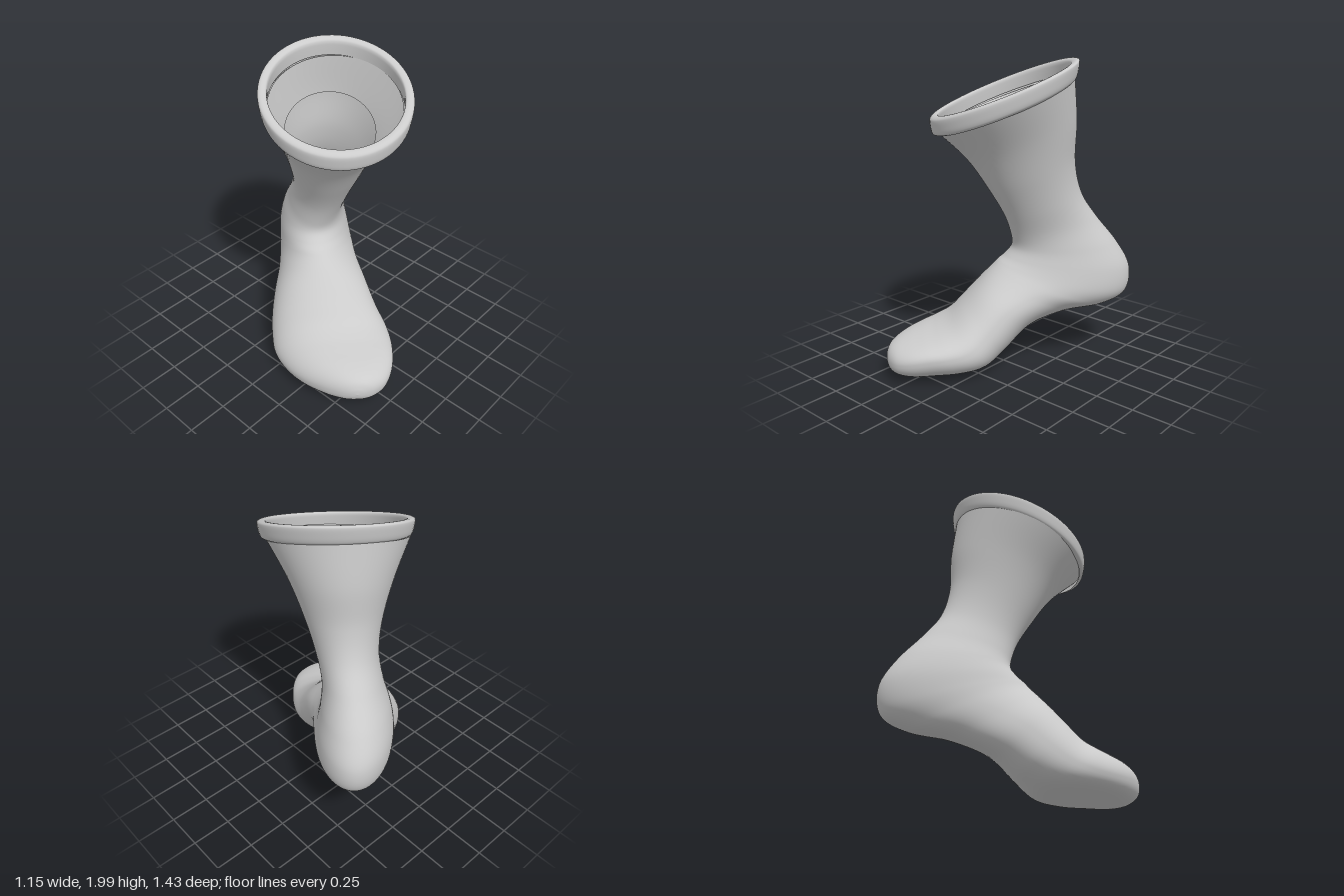
import * as THREE from 'three';

const SEG = 72;

// Skin of closed rings: point(row 0..1, angle) -> [x, y, z]
function loft(rows, point) {
  const pos = [], idx = [];
  for (let i = 0; i <= rows; i++) {
    for (let j = 0; j < SEG; j++) pos.push(...point(i / rows, (j / SEG) * Math.PI * 2));
  }
  for (let i = 0; i < rows; i++) {
    for (let j = 0; j < SEG; j++) {
      const k = (j + 1) % SEG;
      const a = i * SEG + j, b = i * SEG + k;
      const c = a + SEG, d = b + SEG;
      idx.push(a, b, c, b, d, c);
    }
  }
  const g = new THREE.BufferGeometry();
  g.setAttribute('position', new THREE.Float32BufferAttribute(pos, 3));
  g.setIndex(idx);
  g.computeVertexNormals();
  return g;
}

// Cross-sections from cuff to toe, in foot axes (x = toeward):
// front/top point, back/sole point, outer side, inner side
const sections = [
  [0.425, 1.57, -0.43, 1.89, -0.40, 0.46],
  [0.23, 1.38, -0.455, 1.62, -0.31, 0.315],
  [0.08, 1.16, -0.455, 1.36, -0.25, 0.215],
  [-0.01, 1.00, -0.505, 1.15, -0.235, 0.15],
  [-0.055, 0.865, -0.615, 0.98, -0.265, 0.11],
  [-0.06, 0.785, -0.76, 0.80, -0.31, 0.115],
  [-0.015, 0.725, -0.85, 0.63, -0.335, 0.135],
  [0.03, 0.69, -0.825, 0.46, -0.34, 0.155],
  [0.06, 0.66, -0.66, 0.37, -0.34, 0.17],
  [0.11, 0.61, -0.41, 0.325, -0.35, 0.19],
  [0.18, 0.535, -0.18, 0.24, -0.38, 0.24],
  [0.27, 0.44, -0.02, 0.11, -0.40, 0.30],
  [0.36, 0.355, 0.11, 0.03, -0.40, 0.36],
  [0.45, 0.31, 0.27, 0.005, -0.38, 0.385],
  [0.54, 0.285, 0.44, 0.005, -0.31, 0.385],
  [0.62, 0.265, 0.58, 0.01, -0.21, 0.365],
  [0.69, 0.24, 0.68, 0.03, -0.09, 0.32],
  [0.735, 0.21, 0.735, 0.06, 0.01, 0.255],
  [0.757, 0.17, 0.757, 0.095, 0.08, 0.19],
  [0.764, 0.13, 0.764, 0.13, 0.135, 0.135],
];
const spline = (pts) => new THREE.CatmullRomCurve3(
  pts.map(([x, y]) => new THREE.Vector3(x, y, 0)), false, 'catmullrom', 0.5);
const front = spline(sections.map((s) => [s[0], s[1]]));
const back = spline(sections.map((s) => [s[2], s[3]]));
const sides = spline(sections.map((s) => [s[4], s[5]]));
const bell = (x, mid, width) => Math.exp(-(((x - mid) / width) ** 2));

function skinPoint(t, angle, inset) {
  const a = front.getPoint(t), b = back.getPoint(t), w = sides.getPoint(t);
  const i = t * (sections.length - 1);
  const mid = a.clone().add(b).multiplyScalar(0.5);
  const half = a.clone().sub(mid);
  half.setLength(Math.max(half.length() - inset, 0));
  // the sole side of the foot is squarer than the top
  let c = Math.cos(angle), s = Math.sin(angle);
  if (c < 0) {
    const e = 1 - 0.18 * THREE.MathUtils.smoothstep(i, 7, 11);
    c = -(Math.abs(c) ** e);
    s = Math.sign(s) * Math.abs(s) ** e;
  }
  const dw = -s * Math.max((w.y - w.x) / 2 - inset, 0);
  // raised arch on the inner side of the sole, lowered outer edge at the ball
  const arch = 0.28 * bell(i, 9.5, 2) * (1 - c) / 2;
  const tilt = 0.11 * bell(i, 13.8, 2.2) * s * s;
  return [mid.x + half.x * c, mid.y + half.y * c + (arch + tilt) * dw, -((w.x + w.y) / 2 + dw)];
}

// Cuff profile (radius, height), from inside over the top to outside
const cuffProfile = spline([
  [0.404, -0.1], [0.4, -0.045], [0.4, -0.018], [0.408, -0.004], [0.432, 0],
  [0.45, -0.008], [0.454, -0.025], [0.45, -0.06], [0.444, -0.09], [0.435, -0.108], [0.415, -0.12],
]);
function cuffPoint(t, angle) {
  const p = cuffProfile.getPoint(t);
  const u = p.x * Math.cos(angle), z = p.x * Math.sin(angle);
  return [u, 1.825 + p.y - 0.39 * u + 0.035 * z, z - 0.035];
}

export function createModel() {
  const model = new THREE.Group();
  model.name = 'sock';
  const material = new THREE.MeshStandardMaterial({ color: 0xcccccc, side: THREE.DoubleSide });
  const add = (name, geometry) => {
    const mesh = new THREE.Mesh(geometry, material);
    mesh.name = name;
    model.add(mesh);
  };

  // Leg, heel, foot and toe in one smooth hollow skin
  add('legAndFoot', loft(190, (t, a) => skinPoint(t, a, 0)));

  // Short lining folded down inside the top of the leg
  const depth = 0.9 / (sections.length - 1);
  add('lining', loft(20, (t, a) => skinPoint(t * depth, -a, 0.03 + 0.015 * t)));

  // Slanted rolled edge
  add('cuff', loft(50, cuffPoint));

  // Turn the foot axis toward the front right corner
  model.rotation.y = -Math.PI * 0.75;
  const root = new THREE.Group();
  root.add(model);
  return root;
}
